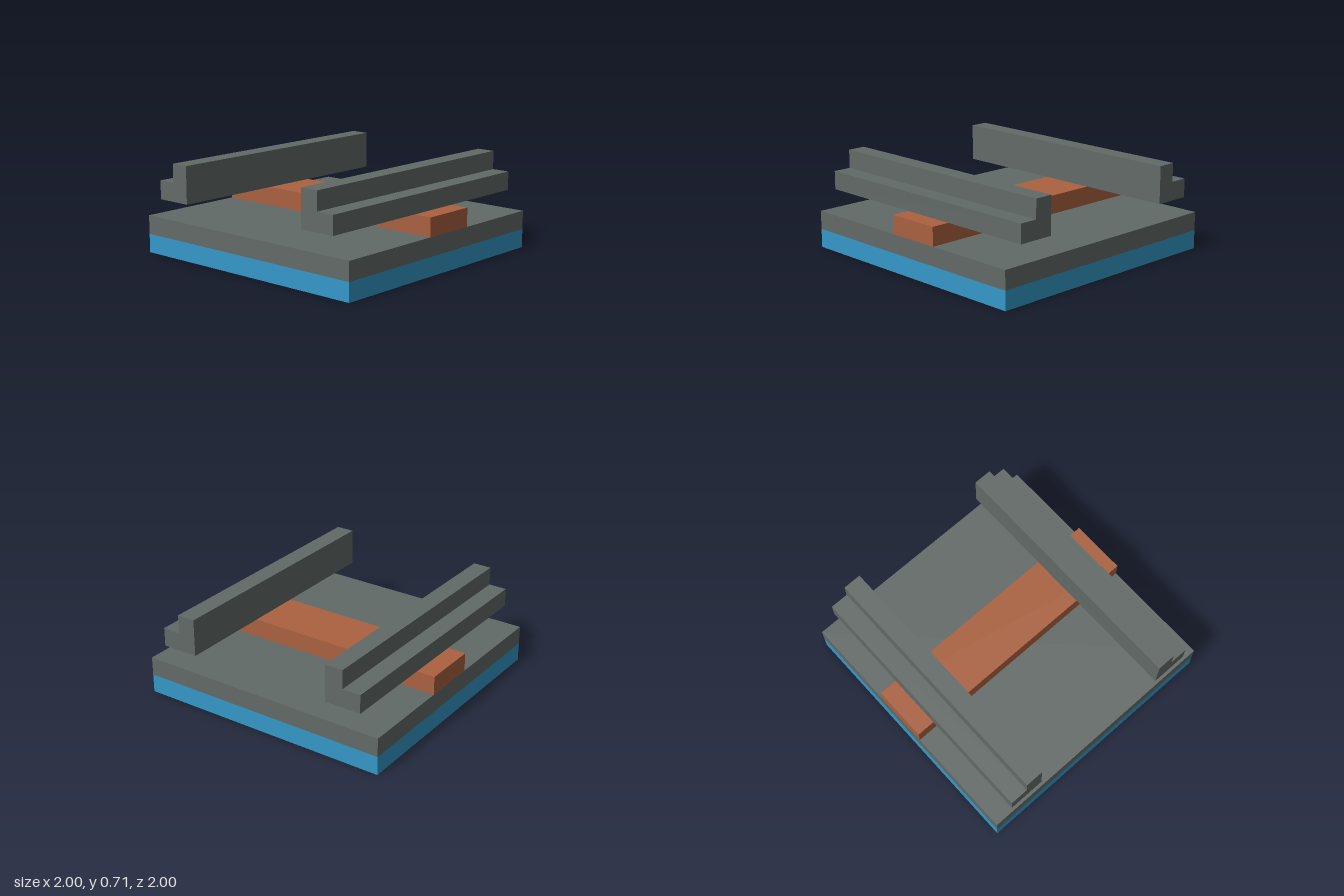
import * as THREE from 'three';

const U = 1 / 7; // modular unit: the base is 14 units wide, each layer one unit thick

export function createModel() {
  const model = new THREE.Group();
  model.name = 'railedBase';

  const material = (name, color) => {
    const m = new THREE.MeshStandardMaterial({ color });
    m.name = name;
    return m;
  };
  const blue = material('blue', 0x3498c8);
  const grey = material('grey', 0x626a67);
  const rust = material('rust', 0xab6140);

  const add = (name, geometry, mat) => {
    const mesh = new THREE.Mesh(geometry, mat);
    mesh.name = name;
    model.add(mesh);
    return mesh;
  };

  // Stacked layers: width and x centre in units, layer index from the ground
  const layer = (name, width, x, level, mat) =>
    add(name, new THREE.BoxGeometry(width * U, U, 2), mat)
      .position.set(x * U, (level + 0.5) * U, 0);
  layer('bottomPlate', 14, 0, 0, blue);
  layer('topPlate', 14, 0, 1, grey);
  layer('centreStrip', 3, 0.5, 2, rust);

  // Stepped rails: an L profile (distance from centre, height) run along x,
  // with the low step facing outward on both the front and back
  const profile = [[4, 3], [6, 3], [6, 4], [5, 4], [5, 5], [4, 5]];
  const shape = new THREE.Shape(profile.map(([d, y]) => new THREE.Vector2(d * U, y * U)));
  const railGeometry = new THREE.ExtrudeGeometry(shape, { depth: 2, bevelEnabled: false });
  railGeometry.translate(0, 0, -1);
  add('frontRail', railGeometry, grey).rotation.y = -Math.PI / 2;
  add('backRail', railGeometry, grey).rotation.y = Math.PI / 2;

  return model;
}
